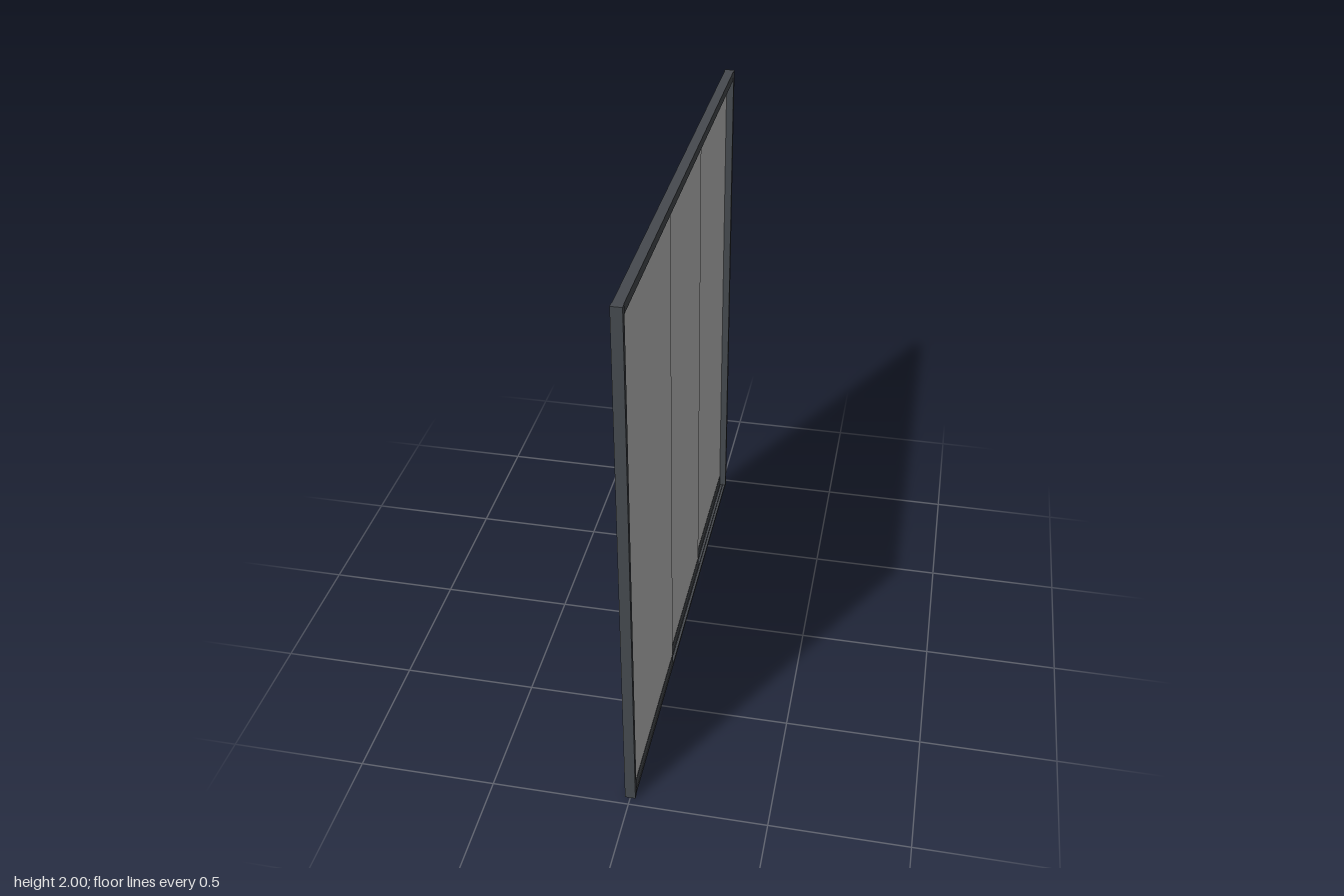
import * as THREE from 'three';

const H = 2, HALF_Z = 0.97, JAMB = 0.02;
const frameMat = new THREE.MeshStandardMaterial({ color: 0x464a4f });
frameMat.name = 'anthracite frame';
const glassMat = new THREE.MeshStandardMaterial({ color: 0xc0c0c0 });
glassMat.name = 'grey glass';

// Box given by its limits on each axis
function slab(name, mat, [x0, x1], [y0, y1], [z0, z1]) {
  const mesh = new THREE.Mesh(new THREE.BoxGeometry(x1 - x0, y1 - y0, z1 - z0), mat);
  mesh.position.set((x0 + x1) / 2, (y0 + y1) / 2, (z0 + z1) / 2);
  mesh.name = name;
  return mesh;
}

export function createModel() {
  const model = new THREE.Group();
  model.name = 'slidingGlassDoor';
  const inner = HALF_Z - JAMB;
  const span = [-inner, inner];

  // Side jambs
  for (const s of [-1, 1]) {
    const z = s > 0 ? [inner, HALF_Z] : [-HALF_Z, -inner];
    model.add(slab(s > 0 ? 'frontJamb' : 'backJamb', frameMat, [-0.019, 0.019], [0, H], z));
  }

  // Head and floor tracks: a plate with four fins forming three grooves
  const headTrack = new THREE.Group();
  headTrack.name = 'headTrack';
  headTrack.add(slab('headPlate', frameMat, [-0.0175, 0.0175], [1.99, H], span));
  const floorTrack = new THREE.Group();
  floorTrack.name = 'floorTrack';
  floorTrack.add(slab('floorPlate', frameMat, [-0.0175, 0.0175], [0, 0.006], span));
  for (let i = 0; i < 4; i++) {
    const x = -0.0165 + i * 0.011;
    const across = [x - 0.001, x + 0.001];
    headTrack.add(slab('headFin', frameMat, across, [1.965, 1.99], span));
    floorTrack.add(slab('floorFin', frameMat, across, [0.006, 0.012], span));
  }
  model.add(headTrack, floorTrack);

  // Three overlapping panels, one per groove
  const width = 0.68;
  [-1, 0, 1].forEach((k) => {
    const x = k * 0.011;
    const centre = k * (inner - width / 2);
    const z = [centre - width / 2, centre + width / 2];
    const panel = new THREE.Group();
    panel.name = ['backPanel', 'middlePanel', 'frontPanel'][k + 1];
    panel.add(
      slab('glass', glassMat, [x - 0.003, x + 0.003], [0.055, 1.985], z),
      slab('bottomRail', frameMat, [x - 0.0042, x + 0.0042], [0.008, 0.058], z),
    );
    model.add(panel);
  });
  return model;
}
